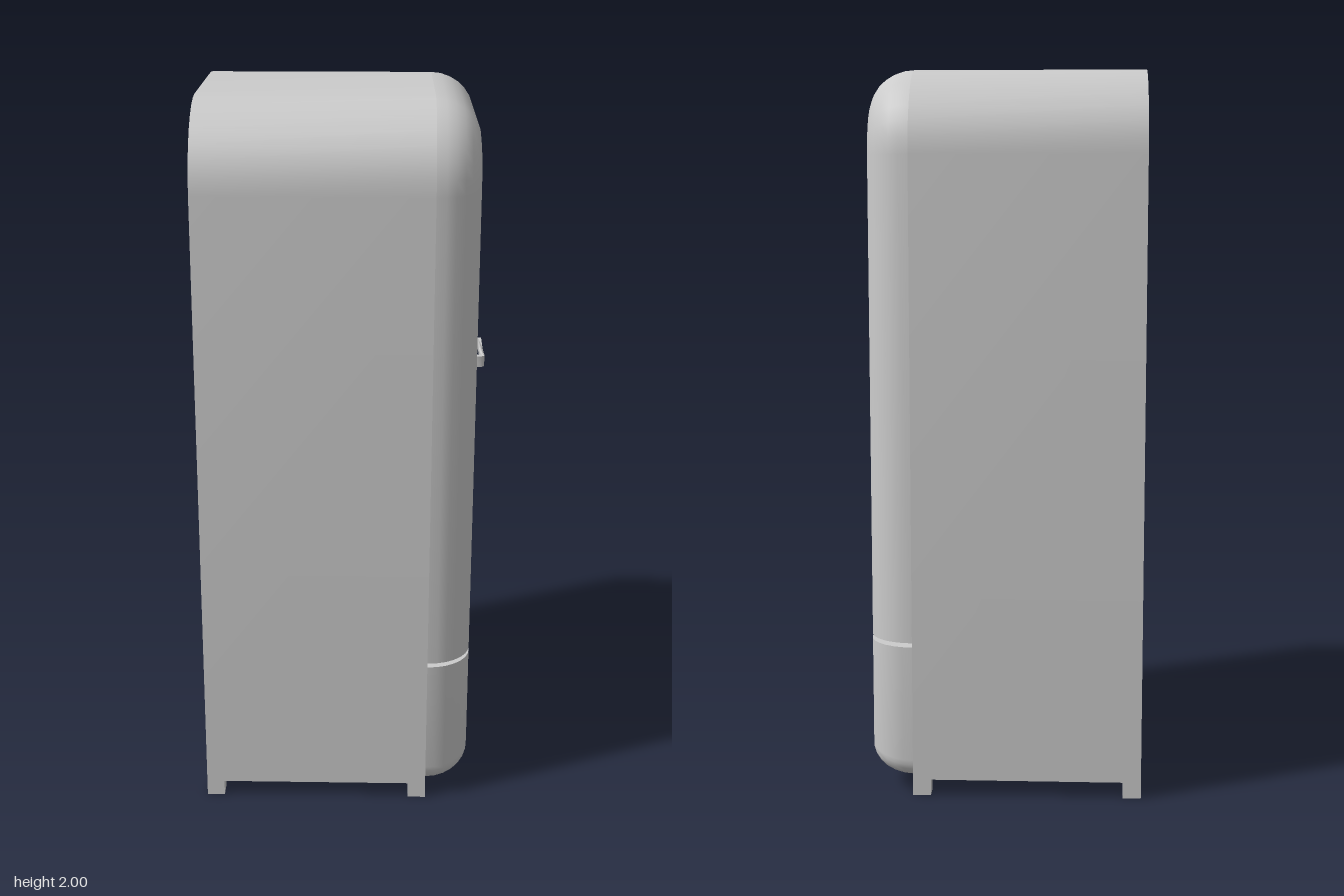
import * as THREE from 'three';
import { toCreasedNormals } from 'three/addons/utils/BufferGeometryUtils.js';

const W = 0.43, TOP = 2, BASE = 0.045;          // half width, top and underside heights
const BACK = -0.39, SEAM = 0.245, FRONT = 0.367; // depth stations along x
const material = new THREE.MeshStandardMaterial({ color: 0xcccccc });

function add(parent, name, geometry) {
  const mesh = new THREE.Mesh(geometry, material);
  mesh.name = name;
  parent.add(mesh);
  return mesh;
}

// Elliptical corner arc as [z, y] points
function arc(cz, cy, rz, ry, from, to, n = 8) {
  return Array.from({ length: n + 1 }, (_, i) => {
    const a = from + (to - from) * i / n;
    return [cz + rz * Math.cos(a), cy + ry * Math.sin(a)];
  });
}

// Arched outline, inset by d, running from the -z side over the top to +z
function archOutline(bottom, d) {
  const w = W - d, t = TOP - d, rz = 0.215 - d, ry = 0.23 - d;
  return [
    [-w, bottom],
    ...arc(-w + rz, t - ry, rz, ry, Math.PI, Math.PI / 2),
    ...arc(w - rz, t - ry, rz, ry, Math.PI / 2, 0),
    [w, bottom],
  ];
}

// Lower door outline, running from the +z side under the bottom to -z
function trayOutline(top, d) {
  const w = W - d, b = BASE + d * 0.66, r = Math.max(0.055 - d * 0.45, 0.006);
  return [
    [w, top],
    ...arc(w - r, b + r, r, r, 0, -Math.PI / 2, 6),
    ...arc(-w + r, b + r, r, r, -Math.PI / 2, -Math.PI, 6),
    [-w, top],
  ];
}

// Loft inset outlines forward along x in a quarter round, with a flat front
function doorGeometry(outline) {
  const steps = 7, inset = 0.115, pos = [], index = [];
  let n = 0;
  for (let k = 0; k <= steps; k++) {
    const a = (k / steps) * Math.PI / 2;
    const ring = outline(inset * (1 - Math.cos(a)));
    const x = SEAM + (FRONT - SEAM) * Math.sin(a);
    n = ring.length;
    for (const [z, y] of ring) pos.push(x, y, z);
  }
  // Outline runs counter-clockwise when seen from +x
  for (let k = 0; k < steps; k++) {
    for (let i = 0; i < n; i++) {
      const j = (i + 1) % n, a = k * n, b = a + n;
      index.push(a + i, b + j, a + j, a + i, b + i, b + j);
    }
  }
  const last = steps * n;
  for (let i = 1; i < n - 1; i++) {
    index.push(last, last + i + 1, last + i); // front panel
    index.push(0, i, i + 1);                  // back panel
  }
  const g = new THREE.BufferGeometry();
  g.setAttribute('position', new THREE.Float32BufferAttribute(pos, 3));
  g.setIndex(index);
  return g;
}

// Flip triangles if the signed volume shows they face inward
function faceOutward(g) {
  const p = g.attributes.position, ix = g.index.array;
  const v = [0, 1, 2].map(() => new THREE.Vector3());
  let volume = 0;
  for (let i = 0; i < ix.length; i += 3) {
    v.forEach((q, k) => q.fromBufferAttribute(p, ix[i + k]));
    volume += v[0].dot(v[1].clone().cross(v[2]));
  }
  if (volume < 0) {
    for (let i = 0; i < ix.length; i += 3) [ix[i + 1], ix[i + 2]] = [ix[i + 2], ix[i + 1]];
  }
  return toCreasedNormals(g, 0.6);
}

// L-shaped lever seen from above, slimmer in the middle of its height
function handleGeometry() {
  const outer = [], inner = [], z0 = 0.115, z1 = 0.268;
  for (let i = 0; i <= 12; i++) {
    const z = z0 + (z1 - z0) * i / 12;
    outer.push([0.389, z]);
    inner.unshift([0.379, z]);
  }
  const elbow = [[0.389, 0.28], [0.386, 0.288], [0.378, 0.292], [0.362, 0.292], [0.362, 0.268]];
  const points = [...outer, ...elbow, ...inner].map(([x, z]) => new THREE.Vector2(x, -z));
  const g = new THREE.ExtrudeGeometry(new THREE.Shape(points), { depth: 2, bevelEnabled: false });
  g.translate(0, 0, -1).rotateX(-Math.PI / 2);
  const p = g.attributes.position;
  for (let i = 0; i < p.count; i++) {
    const s = Math.min(1, Math.abs((p.getZ(i) - 0.2) / 0.08));
    p.setY(i, 1.29 + p.getY(i) * (0.009 + 0.006 * s * s));
  }
  return toCreasedNormals(g, 0.6);
}

export function createModel() {
  const fridge = new THREE.Group();
  fridge.name = 'refrigerator';

  // Arched cabinet
  const shape = new THREE.Shape(archOutline(BASE, 0).map(([z, y]) => new THREE.Vector2(z, y)));
  const cabinet = new THREE.ExtrudeGeometry(shape, { depth: SEAM - BACK, bevelEnabled: false });
  cabinet.rotateY(Math.PI / 2).translate(BACK, 0, 0);
  add(fridge, 'cabinet', toCreasedNormals(cabinet, 0.6));

  // Two doors with a narrow open gap between them
  add(fridge, 'upperDoor', faceOutward(doorGeometry(d => archOutline(0.437, d))));
  add(fridge, 'lowerDoor', faceOutward(doorGeometry(d => trayOutline(0.425, d))));

  add(fridge, 'doorHandle', handleGeometry());

  // Four square feet flush with the cabinet corners
  const size = 0.05;
  for (const x of [BACK + size / 2, SEAM - size / 2]) {
    for (const side of [-1, 1]) {
      const foot = add(fridge, 'foot', new THREE.BoxGeometry(size, BASE, size));
      foot.position.set(x, BASE / 2, side * (W - size / 2));
    }
  }
  return fridge;
}
